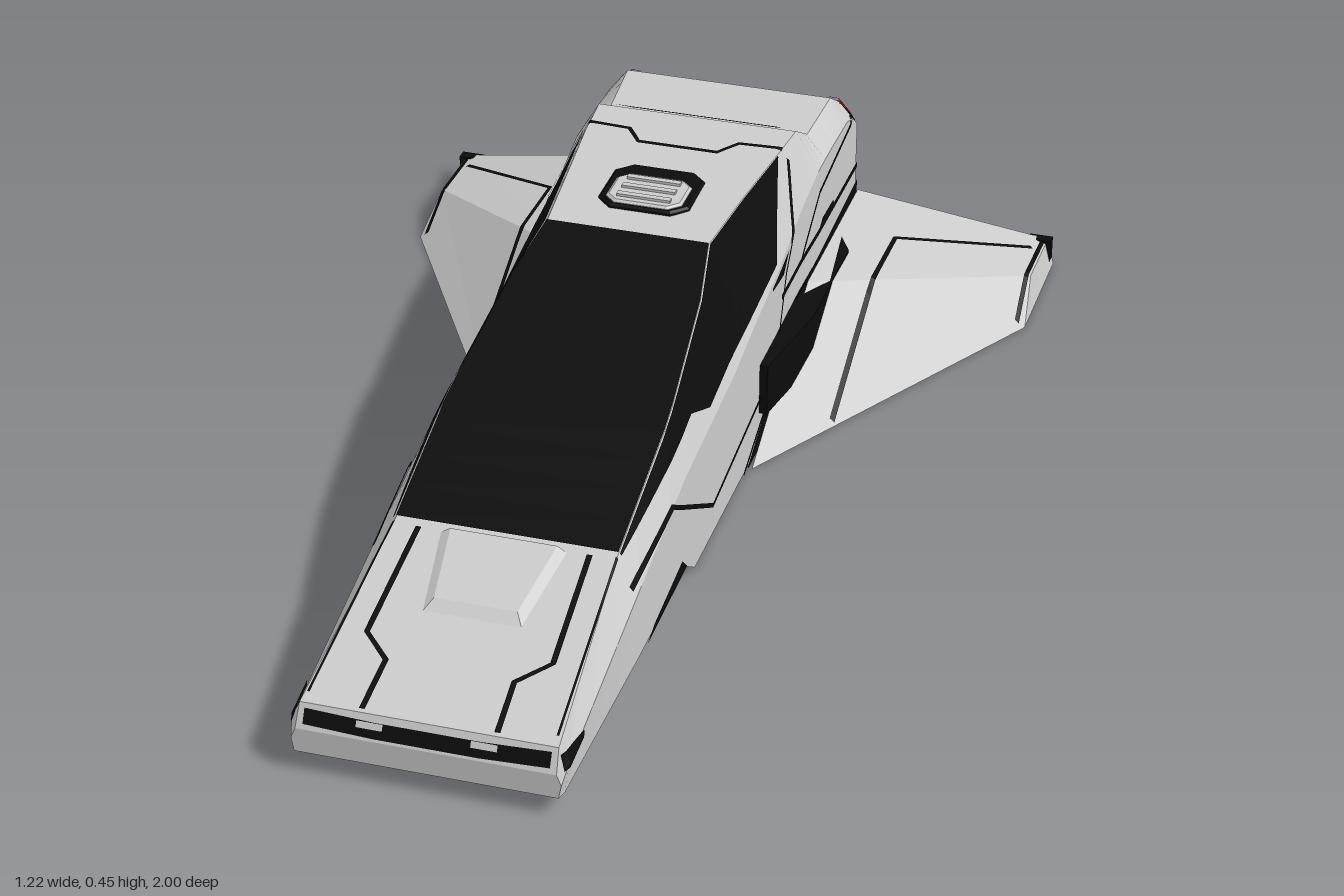
import * as THREE from 'three';

const paint = (color) => new THREE.MeshStandardMaterial({ color, flatShading: true, side: THREE.DoubleSide });
const grey = paint(0xcccccc), black = paint(0x0c0c0c), red = paint(0xff1010), white = paint(0xffffff);

// Hull stations: z, then half-width and height of the sill, the shoulder and the roof edge
const stations = [
  [1, 0.225, 0.035, 0.23, 0.06, 0.222, 0.08],
  [0.98, 0.23, 0.035, 0.235, 0.085, 0.22, 0.12],
  [0.57, 0.235, 0.035, 0.235, 0.17, 0.195, 0.227],
  [0.3, 0.235, 0.04, 0.235, 0.225, 0.195, 0.306],
  [0.24, 0.235, 0, 0.235, 0.23, 0.192, 0.323],
  [0, 0.235, 0, 0.235, 0.25, 0.172, 0.392],
  [-0.13, 0.235, 0, 0.235, 0.275, 0.15, 0.432],
  [-0.3, 0.235, 0, 0.235, 0.3, 0.165, 0.438],
  [-0.47, 0.235, 0, 0.232, 0.335, 0.182, 0.44],
  [-0.58, 0.235, 0, 0.235, 0.36, 0.19, 0.438],
  [-0.66, 0.235, 0, 0.235, 0.36, 0.192, 0.392],
  [-0.8, 0.235, 0, 0.235, 0.355, 0.2, 0.4],
  [-0.85, 0.235, 0, 0.235, 0.335, 0.205, 0.368],
  [-0.88, 0.235, 0, 0.235, 0.31, 0.225, 0.322],
];
const lerp = THREE.MathUtils.lerp;

function section(z) {
  let i = 0;
  while (i < stations.length - 2 && z < stations[i + 1][0]) i++;
  const a = stations[i], b = stations[i + 1];
  const t = THREE.MathUtils.clamp((z - a[0]) / (b[0] - a[0]), 0, 1);
  return a.map((v, k) => lerp(v, b[k], t));
}

// Projections from flat coordinates onto the body; s is the side, +1 or -1
const skin = (s) => (z, t) => {
  const c = section(z), k = t < 1 ? 1 : 3, f = t < 1 ? t : t - 1;
  return [s * lerp(c[k], c[k + 2], f), lerp(c[k + 1], c[k + 3], f), z];
};
const side = (s, lift = 0.003) => (z, y) => {
  const [, wb, yb, wm, ym, wt, yt] = section(z);
  const h = THREE.MathUtils.clamp(y, yb, yt);
  const x = h < ym ? lerp(wb, wm, (h - yb) / (ym - yb)) : lerp(wm, wt, (h - ym) / (yt - ym));
  return [s * (x + lift), h + (h > ym ? lift * 0.6 : 0), z];
};
const roof = (lift = 0.003) => (x, z) => {
  const [, , , wm, ym, wt, yt] = section(z), w = Math.abs(x);
  return [x, (w <= wt ? yt : lerp(yt, ym, (w - wt) / (wm - wt))) + lift, z];
};

function soup(name, pos, material) {
  const g = new THREE.BufferGeometry();
  g.setAttribute('position', new THREE.Float32BufferAttribute(pos, 3));
  g.computeVertexNormals();
  const m = new THREE.Mesh(g, material);
  m.name = name;
  return m;
}

// Surface ruled between two flat polylines, then laid on the body
function patch(name, material, A, B, project, n = 6, m = 4) {
  const pos = [];
  for (let i = 0; i < A.length - 1; i++) {
    const at = (u, v) => {
      const p = [0, 1].map((k) => lerp(lerp(A[i][k], A[i + 1][k], u), lerp(B[i][k], B[i + 1][k], u), v));
      return project(p[0], p[1]);
    };
    for (let j = 0; j < n; j++) for (let k = 0; k < m; k++) {
      const a = at(j / n, k / m), b = at((j + 1) / n, k / m);
      const c = at((j + 1) / n, (k + 1) / m), d = at(j / n, (k + 1) / m);
      pos.push(...a, ...b, ...c, ...a, ...c, ...d);
    }
  }
  return soup(name, pos, material);
}

// Panel seam: a thin mitred ribbon along a flat polyline
function seam(name, pts, project, width = 0.009, material = black) {
  const edge = (sgn) => pts.map((p, i) => {
    const a = pts[Math.max(i - 1, 0)], b = pts[Math.min(i + 1, pts.length - 1)];
    const dx = b[0] - a[0], dy = b[1] - a[1], l = Math.hypot(dx, dy);
    return [p[0] - sgn * dy / l * width / 2, p[1] + sgn * dx / l * width / 2];
  });
  return patch(name, material, edge(1), edge(-1), project, 8, 1);
}

function polygon(name, material, ...p) {
  const pos = [];
  for (let i = 1; i < p.length - 1; i++) pos.push(...p[0], ...p[i], ...p[i + 1]);
  return soup(name, pos, material);
}

function box(name, material, w, h, d, x, y, z) {
  const m = new THREE.Mesh(new THREE.BoxGeometry(w, h, d), material);
  m.name = name;
  m.position.set(x, y, z);
  return m;
}

// Chamfered slab lying flat, with half-sizes w and d and a small bevel
function slab(name, material, w, d, c, h, x, y, z) {
  const shape = new THREE.Shape([[w - c, d], [w, d - c], [w, c - d], [w - c, -d], [c - w, -d], [-w, c - d], [-w, d - c], [c - w, d]]
    .map((p) => new THREE.Vector2(...p)));
  const g = new THREE.ExtrudeGeometry(shape, { depth: h, bevelSize: 0.005, bevelThickness: 0.004, bevelSegments: 1 });
  const m = new THREE.Mesh(g.rotateX(-Math.PI / 2), material);
  m.name = name;
  m.position.set(x, y, z);
  return m;
}

function wing(s) {
  const g = new THREE.Group();
  g.name = s > 0 ? 'leftWing' : 'rightWing';
  const P = (x, y, z) => [s * x, y, z];
  const A = P(0.245, 0, -0.1), B = P(0.608, 0, -0.74), C = P(0.608, 0, -1), D = P(0.235, 0, -0.88);
  const R = P(0.245, 0.182, -0.48), T = P(0.595, 0.057, -0.84), U = P(0.595, 0.052, -1), V = P(0.24, 0.168, -0.88);
  g.add(polygon('wingFront', grey, A, B, T, R), polygon('wingTop', grey, R, T, U, V), polygon('wingTip', grey, B, C, U, T),
    polygon('wingRear', black, C, D, V, U), polygon('wingUnderside', black, A, D, C, B), polygon('wingRoot', black, A, R, V, D));
  // Seams follow the lower of the two upper planes
  const v = (p) => new THREE.Vector3(...p);
  const planes = [[A, B, R], [R, T, V]].map((t) => new THREE.Plane().setFromCoplanarPoints(...t.map(v)));
  const onWing = (x, z) => {
    const ys = planes.map(({ normal: n, constant: c }) => -(n.x * s * x + n.z * z + c) / n.y);
    return P(x, Math.min(...ys) + 0.003, z);
  };
  g.add(seam('wingSeam', [[0.575, -0.94], [0.345, -0.76], [0.345, -0.48], [0.345, -0.29]], onWing));
  g.add(seam('tipSeam', [[0.588, -0.99], [0.588, -0.84], [0.593, -0.735]], onWing, 0.008));
  g.add(box('tipCap', black, 0.045, 0.058, 0.022, s * 0.582, 0.03, -0.988));
  g.add(box('tipLight', red, 0.022, 0.035, 0.006, s * 0.588, 0.032, -0.998));
  return g;
}

export function createModel() {
  const model = new THREE.Group();
  const row = (t) => stations.map((c) => [c[0], t]);
  const rim = (sgn, k) => stations.map((c) => [sgn * c[k], c[0]]);

  // Hull shell
  model.add(patch('roofSkin', grey, rim(-1, 5), rim(1, 5), roof(0), 3, 1));
  model.add(patch('underside', black, rim(-1, 1), rim(1, 1), (x, z) => [x, section(z)[2], z], 3, 1));
  for (const [name, mat, z] of [['noseFace', grey, 1], ['tailPanel', black, -0.88]]) {
    const half = [0, 1, 2].map((t) => skin(1)(z, t)), other = [2, 1, 0].map((t) => skin(-1)(z, t));
    model.add(polygon(name, mat, ...half, ...other));
  }

  // Canopy roof glass
  const glass = stations.slice(2, 7);
  model.add(patch('canopyGlass', black, glass.map((c) => [-c[5], c[0]]), glass.map((c) => [c[5], c[0]]), roof(0.004), 4, 1));

  for (const s of [1, -1]) {
    const on = side(s);
    model.add(patch('sideSkin', grey, row(0), row(1), skin(s), 3, 1), patch('shoulderSkin', grey, row(1), row(2), skin(s), 3, 1));
    // Side glass, dark sill behind the wing, lamp and small vents
    const low = [[0.57, 0.223], [0.2, 0.285], [0.13, 0.26], [-0.13, 0.291], [-0.3, 0.312], [-0.47, 0.438]];
    model.add(patch('sideGlass', black, low, low.map(([z]) => [z, section(z)[6]]), on));
    model.add(patch('darkSill', black, [[-0.1, 0], [-0.27, 0], [-0.4, 0], [-0.88, 0]], [[-0.1, 0.005], [-0.27, 0.085], [-0.4, 0.17], [-0.88, 0.19]], on));
    model.add(patch('sideLamp', black, [[0.99, 0.08], [0.9, 0.09]], [[0.985, 0.108], [0.9, 0.103]], on));
    model.add(patch('sideVent', black, [[-0.25, 0.285], [-0.33, 0.277]], [[-0.25, 0.29], [-0.37, 0.308]], on));
    model.add(patch('rearVent', black, [[-0.58, 0.228], [-0.71, 0.222]], [[-0.61, 0.247], [-0.69, 0.244]], on));
    model.add(patch('skirtVent', black, [[0.54, 0.036], [0.3, 0.042]], [[0.5, 0.05], [0.33, 0.07]], on));
    // Side seams
    model.add(seam('frontSeam', [[0.6, 0.18], [0.385, 0.212], [0.135, 0.065], [-0.28, 0.115]], on));
    model.add(seam('doorSeam', [[-0.07, 0.003], [-0.27, 0.085], [-0.35, 0.27], [-0.5, 0.42]], on));
    model.add(seam('tailSeam', [[-0.46, 0.23], [-0.585, 0.315], [-0.85, 0.345]], on));
    model.add(seam('beltSeam', [[-0.32, 0.235], [-0.6, 0.23], [-0.875, 0.225]], on, 0.012));
    // Hood seam and headlight
    model.add(seam('hoodSeam', [[s * 0.15, 0.585], [s * 0.16, 0.82], [s * 0.11, 0.87], [s * 0.115, 0.975]], roof(), 0.01));
    model.add(seam('hoodEdgeSeam', [[s * 0.196, 0.58], [s * 0.212, 0.96]], roof(), 0.004));
    model.add(seam('headlight', [[s * 0.075, 0.991], [s * 0.12, 0.991]], roof(0.006), 0.005, white));
    // Tail lights
    model.add(seam('tailLight', [[s * 0.07, -0.857], [s * 0.085, -0.867], [s * 0.15, -0.867]], roof(0.007), 0.011, red));
    for (const z of [-0.845, -0.859, -0.873])
      model.add(seam('cornerLight', [[s * 0.188, z], [s * 0.222, z]], roof(0.007), 0.008, red));
    model.add(box('bellyLight', red, 0.04, 0.016, 0.006, s * 0.13, 0.014, -0.88));
    // Dark fairing between body and wing
    const f = [[-0.18, 0.25], [-0.38, 0.283], [-0.64, 0.283], [-0.7, 0.25]];
    const shape = new THREE.Shape([[-0.7, 0.22], [-0.18, 0.22], ...f].map(([z, x]) => new THREE.Vector2(s * x, -z)));
    const fairing = new THREE.Mesh(new THREE.ExtrudeGeometry(shape, { depth: 0.1, bevelEnabled: false }).rotateX(-Math.PI / 2), black);
    fairing.name = 'wingFairing';
    fairing.position.y = 0.07;
    model.add(fairing, wing(s));
  }

  // Nose band, tail band, roof vent and roof seam
  model.add(patch('noseBand', black, [[-0.21, 0.997], [-0.09, 0.999], [0.09, 0.999], [0.21, 0.997]], [[-0.21, 0.985], [-0.09, 0.987], [0.09, 0.987], [0.21, 0.985]], roof()));
  model.add(patch('tailBand', black, [[-0.232, -0.84], [0.232, -0.84]], [[-0.232, -0.88], [0.232, -0.88]], roof(), 24, 6));
  model.add(patch('roofVent', black, [[-0.16, -0.583], [0.16, -0.583]], [[-0.14, -0.632], [0.14, -0.632]], roof(0.004)));
  const half = [[0.185, -0.5], [0.105, -0.495], [0.075, -0.45]];
  model.add(seam('roofSeam', [...half, ...half.map(([x, z]) => [-x, z]).reverse()], roof(), 0.01));

  // Raised hood panel
  const hood = (k) => [[-0.11, 0.585, 0], [-0.085, 0.755, 1], [0.085, 0.755, 1], [0.11, 0.585, 0]].map(([x, z, e]) => roof(k)(x * (k ? 0.85 : 1), z - (k ? 0.02 * e : 0)));
  const base = hood(0), top = hood(0.01);
  model.add(polygon('hoodPanel', grey, ...top));
  for (let i = 0; i < 3; i++) model.add(polygon('hoodPanelEdge', grey, base[i], base[i + 1], top[i + 1], top[i]));

  // Roof intake with louvres
  model.add(slab('intakeBase', black, 0.08, 0.075, 0.025, 0.004, 0, 0.435, -0.285));
  model.add(slab('intakeCover', grey, 0.066, 0.05, 0.018, 0.006, 0, 0.438, -0.267));
  for (const z of [-0.3, -0.267, -0.234]) model.add(box('louvre', grey, 0.1, 0.006, 0.012, 0, 0.45, z));
  return model;
}
